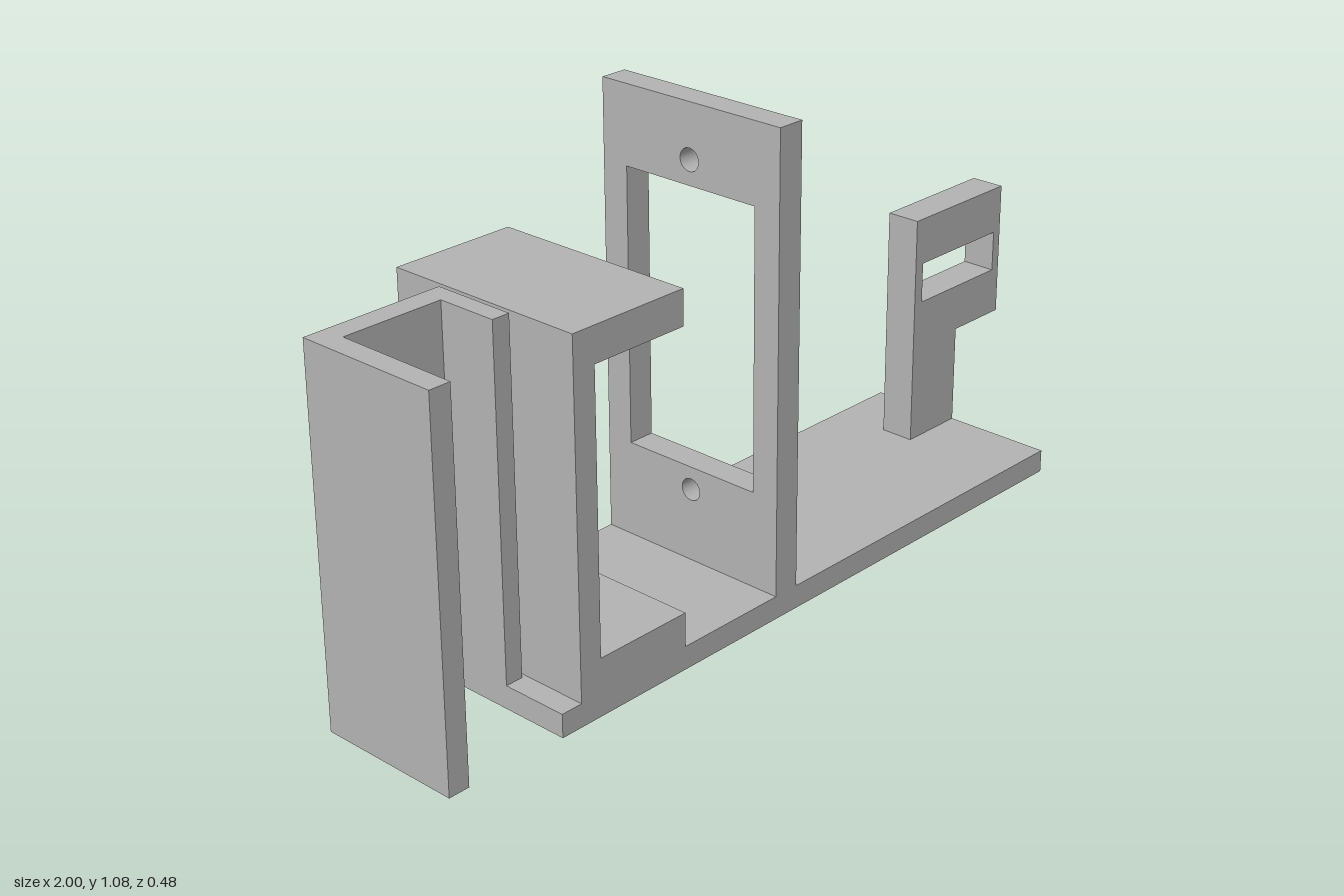
import * as THREE from 'three';

const grey = new THREE.MeshStandardMaterial({ color: 0xb3b3b3 });
grey.name = 'grey plastic';

const path = (pts) => pts.map(([x, y]) => new THREE.Vector2(x, y));
const rect = (x0, y0, x1, y1) => path([[x0, y0], [x1, y0], [x1, y1], [x0, y1]]);

// Extrude an outline with holes between two depths along z
function plate(name, outline, holes, from, to) {
  const shape = new THREE.Shape(outline);
  for (const h of holes) shape.holes.push(h);
  const geo = new THREE.ExtrudeGeometry(shape, { depth: to - from, bevelEnabled: false, curveSegments: 16 });
  geo.translate(0, 0, from);
  const mesh = new THREE.Mesh(geo, grey);
  mesh.name = name;
  return mesh;
}

export function createModel() {
  const model = new THREE.Group();
  model.name = 'mountingBracket';

  // Long flat base
  model.add(plate('base', rect(-0.715, 0, 0.84, 0.053), [], -0.24, 0.24));

  // C-shaped holder
  model.add(plate('cradle', path([
    [-0.663, 0.053], [-0.37, 0.053], [-0.37, 0.13], [-0.608, 0.13],
    [-0.608, 0.75], [-0.37, 0.75], [-0.37, 0.828], [-0.663, 0.828],
  ]), [], -0.24, 0.24));

  // Upright frame with a window and two screw holes, turned to face along x
  const screwHole = (y) => new THREE.Path().absarc(0, y, 0.025, 0, Math.PI * 2);
  const frame = plate('uprightFrame', rect(-0.24, 0.053, 0.24, 1.077),
    [new THREE.Path(rect(-0.175, 0.273, 0.175, 0.9)), screwHole(0.22), screwHole(0.955)], -0.096, -0.032);
  frame.geometry.rotateY(Math.PI / 2);
  model.add(frame);

  // Slotted arm at the left end
  model.add(plate('slottedArm', path([
    [0.68, 0.053], [0.84, 0.053], [0.84, 0.285], [0.997, 0.285], [0.997, 0.6], [0.68, 0.6],
  ]), [new THREE.Path(rect(0.706, 0.395, 0.974, 0.49))], -0.102, -0.021));

  // Hooked channel at the right end: plan outline raised along y
  const channel = plate('hookedChannel', path([
    [-1, 0.107], [-0.673, 0.107], [-0.673, -0.085], [-0.715, -0.085],
    [-0.715, 0.055], [-0.95, 0.055], [-0.95, -0.232], [-1, -0.232],
  ]), [], 0, 0.828);
  channel.geometry.rotateX(-Math.PI / 2);
  model.add(channel);

  return model;
}
